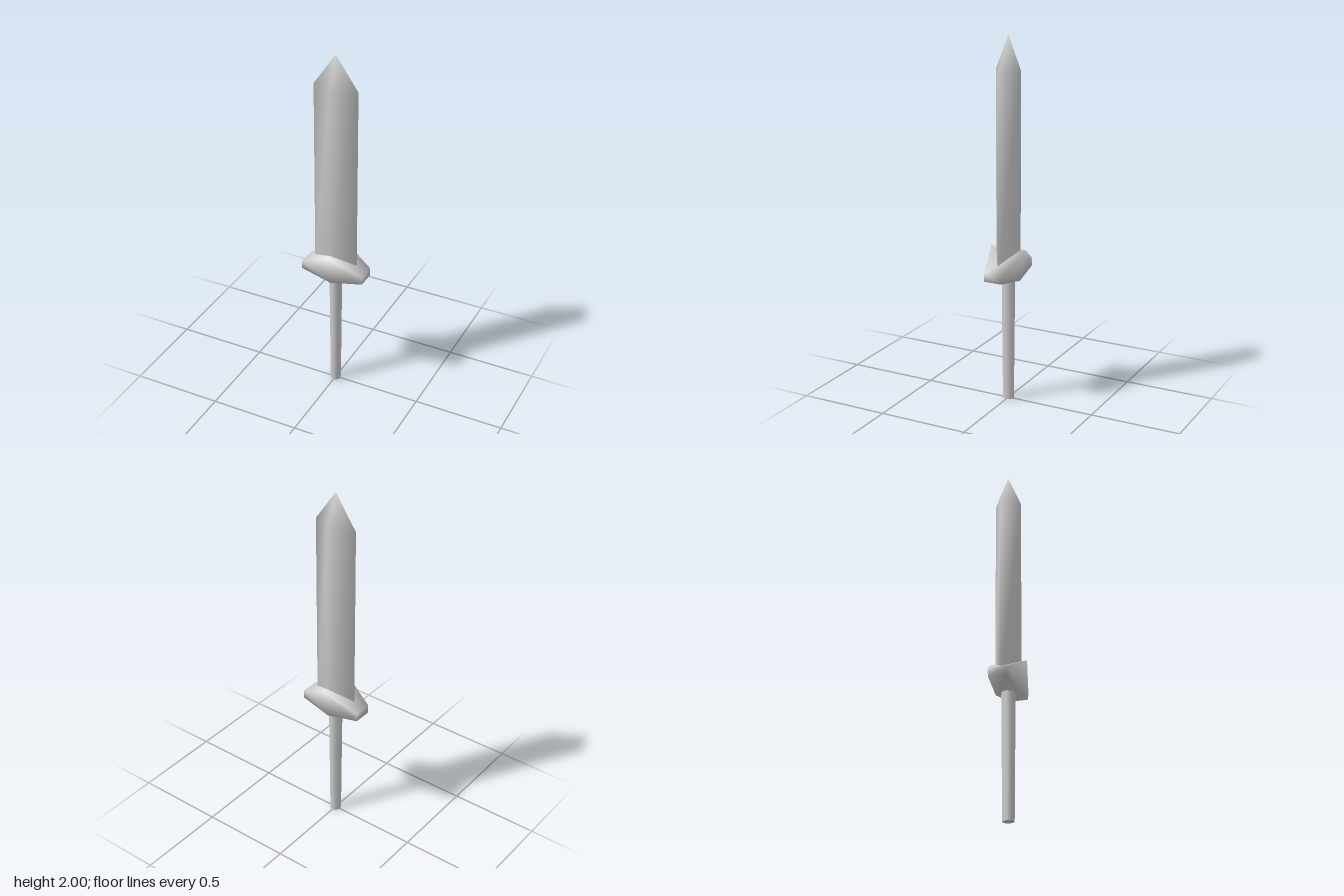
import * as THREE from 'three';
import { mergeVertices } from 'three/addons/utils/BufferGeometryUtils.js';

const material = new THREE.MeshStandardMaterial({ color: 0xcccccc });

// Skin a list of equal-sized rings (counter-clockwise about the loft axis) and cap both ends.
function loft(rings) {
  const n = rings[0].length, last = (rings.length - 1) * n, index = [];
  for (let r = 0; r < rings.length - 1; r++) {
    for (let j = 0; j < n; j++) {
      const a = r * n + j, b = r * n + (j + 1) % n;
      index.push(a, b, b + n, a, b + n, a + n);
    }
  }
  for (let j = 1; j < n - 1; j++) {
    index.push(0, j + 1, j, last, last + j, last + j + 1);
  }
  const geometry = new THREE.BufferGeometry();
  geometry.setAttribute('position', new THREE.Float32BufferAttribute(rings.flat(2), 3));
  geometry.setIndex(index);
  const welded = mergeVertices(geometry, 1e-5);
  welded.computeVertexNormals();
  return welded;
}

// Diamond cross-section of the blade
const diamond = (y, hx, hz) => [[hx, y, 0], [0, y, -hz], [-hx, y, 0], [0, y, hz]];

// Trapezoid cross-section of the guard
const trapezoid = (x, bottom, top, hzBottom, hzTop) => [
  [x, bottom, -hzBottom], [x, top, -hzTop], [x, top, hzTop], [x, bottom, hzBottom],
];

export function createModel() {
  const sword = new THREE.Group();
  sword.name = 'sword';
  const add = (name, geometry) => {
    const mesh = new THREE.Mesh(geometry, material);
    mesh.name = name;
    sword.add(mesh);
    return mesh;
  };

  // Blade with a four-sided point
  add('blade', loft([diamond(0.72, 0.125, 0.073), diamond(1.82, 0.125, 0.073), diamond(2, 0, 0)]));

  // Guard, tall and wide in the middle and narrowing to each end
  add('guard', loft([
    trapezoid(-0.18, 0.72, 0.765, 0.05, 0.052),
    trapezoid(0, 0.69, 0.865, 0.07, 0.103),
    trapezoid(0.18, 0.72, 0.765, 0.05, 0.052),
  ]));

  // Slightly oval grip, tapering downwards
  const grip = new THREE.CylinderGeometry(0.035, 0.029, 0.72, 8);
  grip.scale(1, 1, 1.14);
  add('grip', grip).position.y = 0.36;

  return sword;
}
